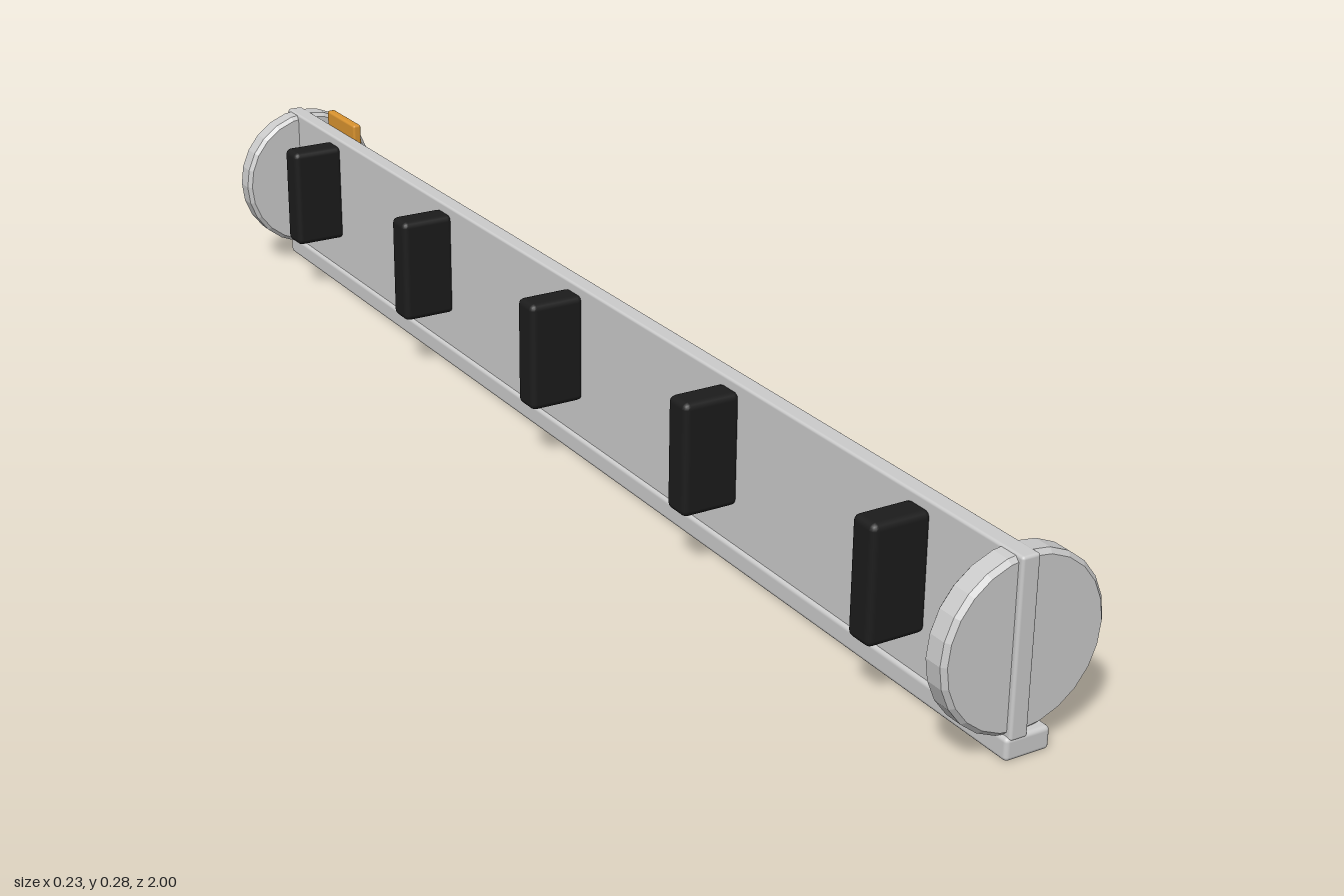
import * as THREE from 'three';
import { RoundedBoxGeometry } from 'three/addons/geometries/RoundedBoxGeometry.js';

const grey = new THREE.MeshStandardMaterial({ color: 0xcccccc });
const greyFlat = new THREE.MeshStandardMaterial({ color: 0xcccccc, flatShading: true });
const black = new THREE.MeshStandardMaterial({ color: 0x1c1c1c });
const orange = new THREE.MeshStandardMaterial({ color: 0xd9932f });

export function createModel() {
  const model = new THREE.Group();
  model.name = 'barrier';

  const add = (name, geometry, material, x, y, z) => {
    const mesh = new THREE.Mesh(geometry, material);
    mesh.name = name;
    mesh.position.set(x, y, z);
    model.add(mesh);
    return mesh;
  };
  // Rounded box given by its min and max corners
  const block = (name, min, max, radius, material) => add(
    name,
    new RoundedBoxGeometry(max[0] - min[0], max[1] - min[1], max[2] - min[2], 2, radius),
    material,
    ...min.map((v, i) => (v + max[i]) / 2));

  // Long upright panel on its foot strip
  block('panel', [-0.019, 0.028, -1], [0.007, 0.264, 1], 0.004, grey);
  block('footStrip', [-0.024, 0.002, -1], [0.041, 0.033, 1], 0.006, grey);

  // Round end caps with bevelled rims
  const rim = [[0, -0.019], [0.111, -0.019], [0.117, -0.013], [0.117, 0.013], [0.111, 0.019], [0, 0.019]]
    .map(([r, h]) => new THREE.Vector2(r, h));
  const capGeometry = new THREE.LatheGeometry(rim, 24);
  for (const side of [1, -1]) {
    const cap = add('endCap', capGeometry, greyFlat, 0, 0.147, side * 0.974);
    cap.rotation.x = Math.PI / 2;
  }

  // Ribs along the left face
  const ribGeometry = new THREE.CapsuleGeometry(0.008, 1.79, 4, 10);
  for (const y of [0.078, 0.152, 0.23]) {
    add('rib', ribGeometry, grey, 0.007, y, 0).rotation.x = Math.PI / 2;
  }

  // Bolts on the left face, black brackets on the right face
  const boltGeometry = new THREE.CylinderGeometry(0.008, 0.008, 0.024, 8);
  for (let i = -2; i <= 2; i++) {
    const z = i * 0.405;
    add('bolt', boltGeometry, greyFlat, 0.014, 0.055, z).rotation.z = Math.PI / 2;
    block('bracket', [-0.1, 0.09, z - 0.022], [-0.015, 0.251, z + 0.022], 0.009, black);
  }

  // Tab standing on the top edge near the back
  block('topTab', [0.004, 0.245, -0.885], [0.018, 0.287, -0.78], 0.004, orange);

  return model;
}
